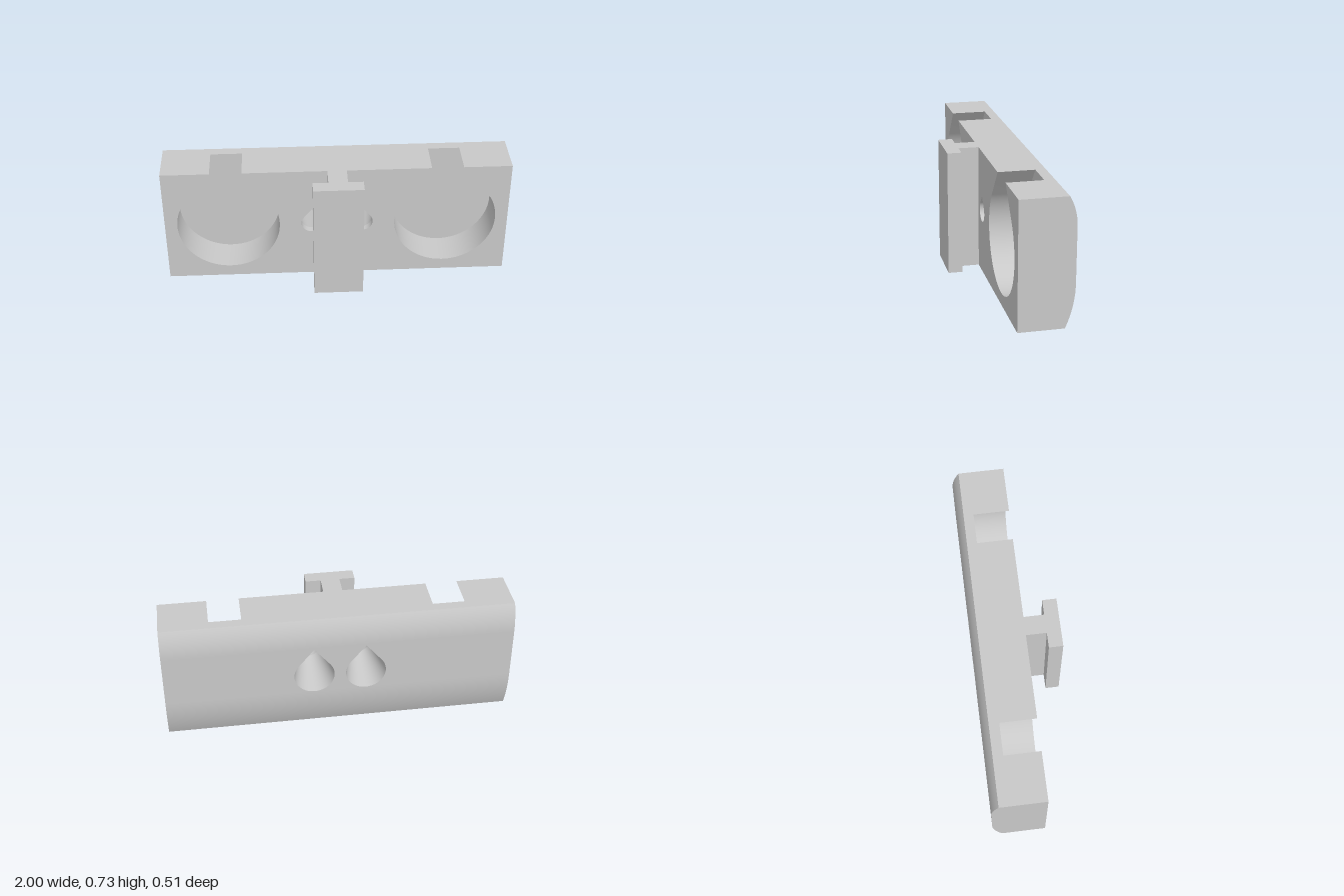
import * as THREE from 'three';

const H = 0.725, FRONT = 0.055, BACK = -0.253, FLOOR = -0.152;
const TOP_Z = -0.21, BOTTOM_Z = -0.2;      // where the bowed back meets top and bottom
const CY = 0.366, PX = 0.631, PR = 0.297;  // pocket centre and radius
const HX = 0.148;                          // screw hole centre
const HOLE_FRONT = 0.06, HOLE_BACK = 0.115; // screw hole radii
const SLOPE = THREE.MathUtils.degToRad(39);

const v2 = (x, y) => new THREE.Vector2(x, y);
const at = (pts, z) => pts.map((p) => new THREE.Vector3(p.x, p.y, z));

// Teardrop, clockwise from the top; cut off at maxY when its tip is higher
function teardrop(cx, r, maxY = Infinity, n = 48) {
  const tip = CY + r / Math.sin(SLOPE);
  const top = Math.min(tip, maxY);
  const half = (tip - top) * Math.tan(SLOPE);
  const pts = [v2(cx + half, top)];
  for (let i = 0; i <= n; i++) {
    const a = SLOPE - (i / n) * (Math.PI + 2 * SLOPE);
    pts.push(v2(cx + r * Math.cos(a), CY + r * Math.sin(a)));
  }
  pts.push(v2(cx - half, top));
  return pts;
}

// Smooth surface between matching rows of points
function loft(rows) {
  const n = rows[0].length, idx = [];
  for (let r = 0; r < rows.length - 1; r++) {
    for (let i = 0; i < n - 1; i++) {
      const a = r * n + i, b = a + n;
      idx.push(a, b, a + 1, b, b + 1, a + 1);
    }
  }
  const g = new THREE.BufferGeometry().setFromPoints(rows.flat());
  g.setIndex(idx);
  g.computeVertexNormals();
  return g;
}

function face(pts, holes = []) {
  const s = new THREE.Shape(pts);
  s.holes = holes.map((h) => new THREE.Path(h));
  return new THREE.ShapeGeometry(s);
}

export function createModel() {
  const model = new THREE.Group();
  model.name = 'wallHolder';
  const grey = new THREE.MeshStandardMaterial({ color: 0xc8c8c8, side: THREE.DoubleSide });
  grey.name = 'lightGrey';
  const add = (name, geo) => {
    const m = new THREE.Mesh(geo, grey);
    m.name = name;
    model.add(m);
  };

  const pockets = [-PX, PX].map((x) => teardrop(x, PR, H));
  const holes = (r) => [-HX, HX].map((x) => teardrop(x, r).slice(0, -1));

  // Front face with open-topped pockets
  const outline = [v2(-1, 0), v2(-1, H)];
  pockets.forEach((p) => outline.push(...[...p].reverse()));
  outline.push(v2(1, H), v2(1, 0));
  add('frontFace', face(outline, holes(HOLE_FRONT)).translate(0, 0, FRONT));

  // Pocket walls and floors
  pockets.forEach((p) => {
    add('pocketWall', loft([at(p, FRONT), at(p, FLOOR)]));
    add('pocketFloor', face(p).translate(0, 0, FLOOR));
  });

  // Screw holes, widening toward the back
  [-HX, HX].forEach((x) => {
    const small = teardrop(x, HOLE_FRONT), big = teardrop(x, HOLE_BACK);
    add('screwHoleNeck', loft([at(small, FRONT), at(small, FRONT - 0.04)]));
    add('screwHoleFlare', loft([at(small, FRONT - 0.04), at(big, BACK)]));
  });

  // Bowed back: curve, flat panel with holes, curve
  const upper = new THREE.QuadraticBezierCurve(v2(TOP_Z, H), v2(BACK, 0.65), v2(BACK, 0.56)).getPoints(12);
  const lower = new THREE.QuadraticBezierCurve(v2(BACK, 0.248), v2(BACK, 0.125), v2(BOTTOM_Z, 0)).getPoints(14);
  const across = (pts) => loft([-1, 1].map((x) => pts.map((p) => new THREE.Vector3(x, p.y, p.x))));
  add('backUpperCurve', across(upper));
  add('backLowerCurve', across(lower));
  const panel = [v2(-1, 0.248), v2(1, 0.248), v2(1, 0.56), v2(-1, 0.56)];
  add('backPanel', face(panel, holes(HOLE_BACK)).rotateY(Math.PI).translate(0, 0, BACK));

  // End caps
  const profile = [v2(FRONT, H), ...upper, ...lower, v2(FRONT, 0)];
  add('leftEnd', face(profile.map((p) => v2(-p.x, p.y))).rotateY(Math.PI / 2).translate(1, 0, 0));
  add('rightEnd', face(profile).rotateY(-Math.PI / 2).translate(-1, 0, 0));

  // Top with pocket notches, and bottom
  const top = [v2(1, -TOP_Z), v2(-1, -TOP_Z), v2(-1, -FRONT)];
  pockets.forEach((p) => {
    const r = p[0].x, l = p[p.length - 1].x;
    top.push(v2(l, -FRONT), v2(l, -FLOOR), v2(r, -FLOOR), v2(r, -FRONT));
  });
  top.push(v2(1, -FRONT));
  add('top', face(top).rotateX(-Math.PI / 2).translate(0, H, 0));
  const base = [v2(-1, BOTTOM_Z), v2(1, BOTTOM_Z), v2(1, FRONT), v2(-1, FRONT)];
  add('bottom', face(base).rotateX(Math.PI / 2));

  // T-shaped rail on the front
  const half = [v2(0.055, -FRONT), v2(0.055, -0.172), v2(0.143, -0.172), v2(0.143, -0.253)];
  const tee = [...half, ...[...half].reverse().map((p) => v2(-p.x, p.y))];
  const rail = new THREE.ExtrudeGeometry(new THREE.Shape(tee), { depth: H, bevelEnabled: false });
  add('frontRail', rail.rotateX(-Math.PI / 2));

  return model;
}
